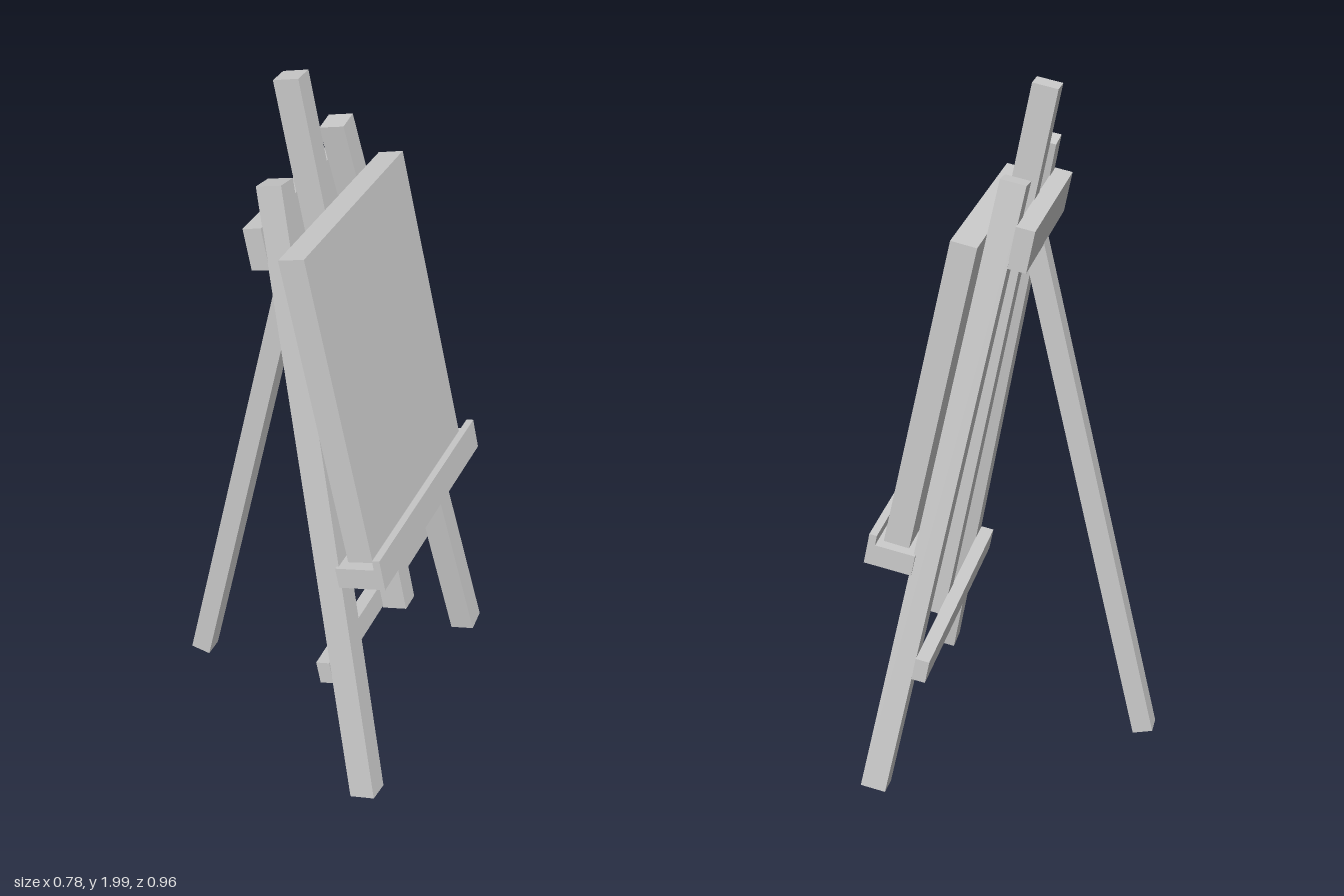
import * as THREE from 'three';

const material = new THREE.MeshStandardMaterial({ color: 0xcccccc, flatShading: true });

// Box given by its extents [min, max] on each axis
function block(name, [x0, x1], [y0, y1], [z0, z1]) {
  const mesh = new THREE.Mesh(new THREE.BoxGeometry(x1 - x0, y1 - y0, z1 - z0), material);
  mesh.name = name;
  mesh.position.set((x0 + x1) / 2, (y0 + y1) / 2, (z0 + z1) / 2);
  return mesh;
}

// Square-cut beam between two points; x and z are its cross-section
function beam(name, from, to, width, depth) {
  const a = new THREE.Vector3(...from), b = new THREE.Vector3(...to);
  const dir = b.clone().sub(a);
  const mesh = new THREE.Mesh(new THREE.BoxGeometry(width, dir.length(), depth), material);
  mesh.name = name;
  mesh.position.copy(a).add(b).multiplyScalar(0.5);
  mesh.quaternion.setFromUnitVectors(new THREE.Vector3(0, 1, 0), dir.normalize());
  return mesh;
}

export function createModel() {
  const easel = new THREE.Group();
  easel.name = 'easel';

  // Leaning front frame: local y runs up the frame, local x points out of it
  const frame = new THREE.Group();
  frame.name = 'frontFrame';
  frame.position.set(0.353, 0.018, 0);
  frame.rotation.z = THREE.MathUtils.degToRad(11.85);
  easel.add(frame);

  // Centre mast and the two splayed legs
  frame.add(block('mast', [-0.037, 0.037], [0.36, 2.017], [-0.035, 0.035]));
  for (const [side, s] of [['left', -1], ['right', 1]]) {
    frame.add(beam(side + 'FrontLeg', [0, 0, 0.443 * s], [0, 1.803, 0.217 * s], 0.073, 0.075));
  }

  // Crossbars on the back of the frame
  frame.add(block('lowerCrossbar', [-0.076, -0.036], [0.366, 0.434], [-0.432, 0.432]));
  frame.add(block('upperCrossbar', [-0.088, -0.035], [1.58, 1.70], [-0.28, 0.28]));

  // Tray with a raised front lip
  frame.add(block('tray', [0.03, 0.146], [0.67, 0.732], [-0.4, 0.4]));
  frame.add(block('trayLip', [0.146, 0.168], [0.67, 0.762], [-0.4, 0.4]));

  // Board resting on the tray, tipped slightly further back
  easel.add(beam('board', [0.2935, 0.755, 0], [0.091, 1.646, 0], 0.074, 0.732));

  // Rear prop leg
  easel.add(beam('backLeg', [-0.365, 0.028, 0], [-0.026, 1.56, 0], 0.06, 0.066));

  return easel;
}
